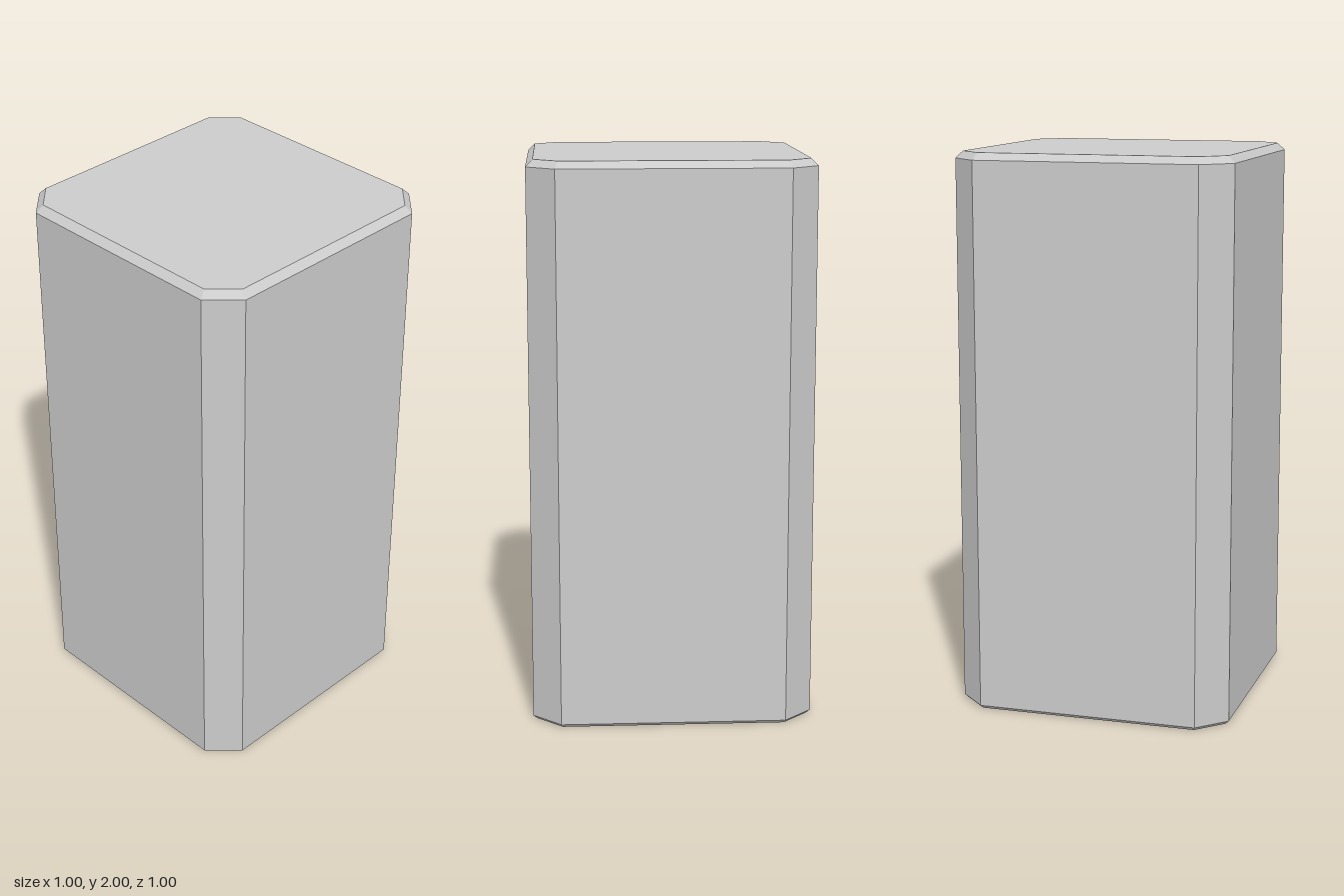
import * as THREE from 'three';
import { toCreasedNormals } from 'three/addons/utils/BufferGeometryUtils.js';

const HEIGHT = 2, HALF = 0.5, FLAT = 0.4;
const TOP_BEVEL = 0.025, BOTTOM_BEVEL = 0.0125;
const BORE = 0.16, BORE_DEPTH = 0.07, HOLE = 0.1, HOLE_DEPTH = 0.5;

// Square with cut corners, moved inwards by an even inset (counter-clockwise)
function outline(inset) {
  const h = HALF - inset;
  const c = FLAT - inset * Math.tan(Math.PI / 8);
  return [[-c, -h], [c, -h], [h, -c], [h, c], [c, h], [-c, h], [-h, c], [-h, -c]]
    .map(([x, y]) => new THREE.Vector2(x, y));
}

// Walls and bevels joining the outlines stacked at each level
function loft(levels) {
  const rings = levels.map(([inset, y]) => outline(inset).map(p => [p.x, y, -p.y]));
  const positions = [];
  for (let i = 0; i < rings.length - 1; i++) {
    const low = rings[i], high = rings[i + 1];
    for (let j = 0; j < low.length; j++) {
      const k = (j + 1) % low.length;
      positions.push(...low[j], ...low[k], ...high[k], ...low[j], ...high[k], ...high[j]);
    }
  }
  const geometry = new THREE.BufferGeometry();
  geometry.setAttribute('position', new THREE.Float32BufferAttribute(positions, 3));
  geometry.computeVertexNormals();
  return geometry;
}

export function createModel() {
  const group = new THREE.Group();
  group.name = 'chamferedBlock';
  const material = new THREE.MeshStandardMaterial({ color: 0xcccccc });
  const add = (name, geometry) => {
    const mesh = new THREE.Mesh(geometry, material);
    mesh.name = name;
    group.add(mesh);
  };

  // Side walls with a bevel at the foot and at the top
  add('sideWalls', loft([
    [BOTTOM_BEVEL, 0], [0, BOTTOM_BEVEL],
    [0, HEIGHT - TOP_BEVEL], [TOP_BEVEL, HEIGHT],
  ]));

  // Top face
  const top = new THREE.ShapeGeometry(new THREE.Shape(outline(TOP_BEVEL)));
  add('topFace', top.rotateX(-Math.PI / 2).translate(0, HEIGHT, 0));

  // Underside with the round opening
  const base = new THREE.Shape(outline(BOTTOM_BEVEL));
  base.holes.push(new THREE.Path().absarc(0, 0, BORE, 0, Math.PI * 2, true));
  add('underside', new THREE.ShapeGeometry(base, 24).rotateX(Math.PI / 2));

  // Stepped blind hole, seen from its inside
  const profile = [
    [0, HOLE_DEPTH], [HOLE, HOLE_DEPTH], [HOLE, BORE_DEPTH], [BORE, BORE_DEPTH], [BORE, 0],
  ].map(([x, y]) => new THREE.Vector2(x, y));
  add('counterboredHole', toCreasedNormals(new THREE.LatheGeometry(profile, 48), 0.6));

  return group;
}
